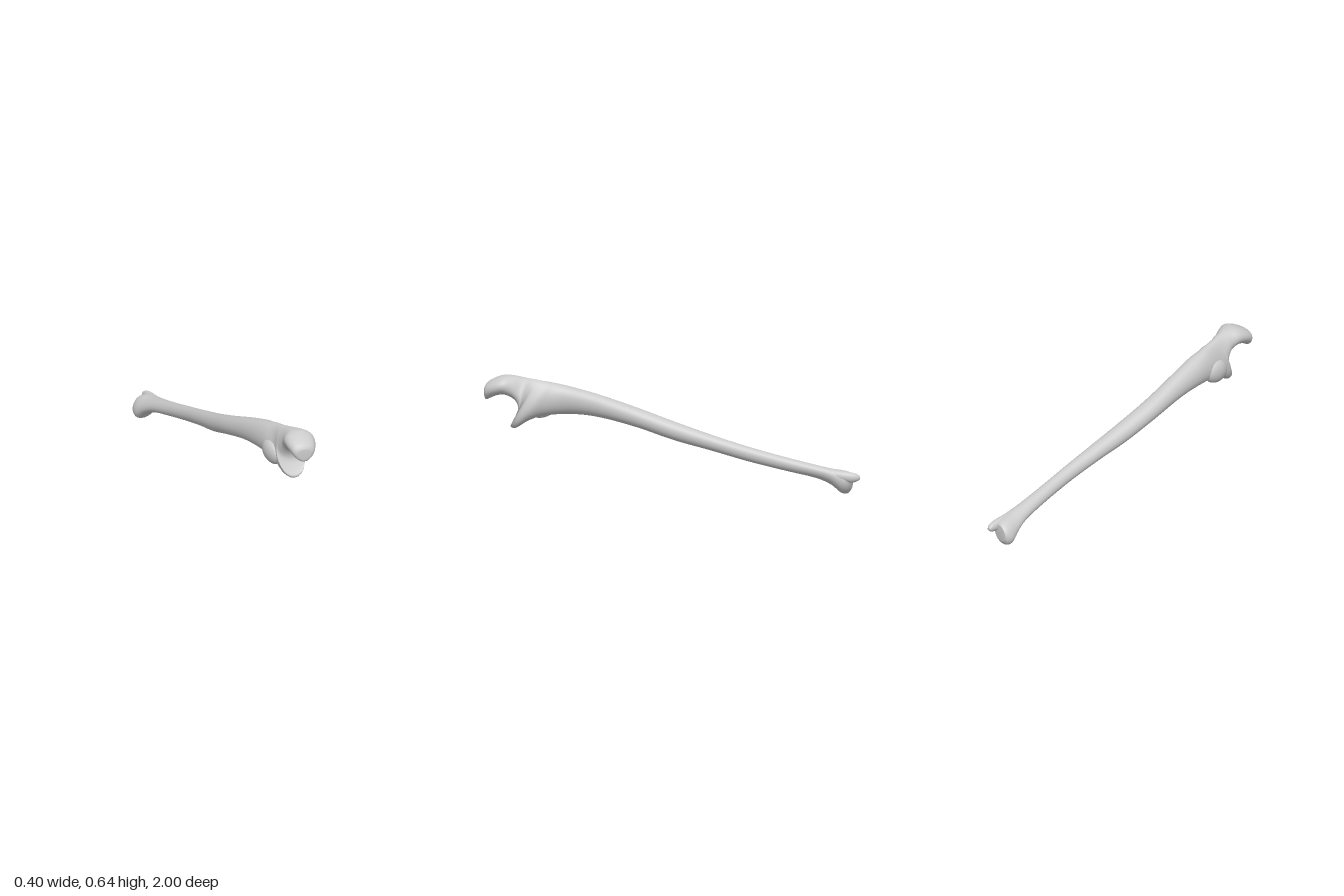
import * as THREE from 'three';

const material = new THREE.MeshStandardMaterial({ color: 0xcccccc });
const SIDES = 28;

// Catmull-Rom blend of whole rows
function blend(rows, t) {
  const n = rows.length - 1;
  const i = Math.min(Math.floor(t * n), n - 1);
  const f = t * n - i;
  const at = (k) => rows[Math.max(0, Math.min(n, k))];
  return rows[i].map((p1, c) => {
    const p0 = at(i - 1)[c], p2 = at(i + 1)[c], p3 = at(i + 2)[c];
    return p1 + 0.5 * f * (p2 - p0 + f * (2 * p0 - 5 * p1 + 4 * p2 - p3 + f * (3 * (p1 - p2) + p3 - p0)));
  });
}

// Skin over rings; each row: top z, top y, bottom z, bottom y,
// top centre x, top half width, bottom centre x, bottom half width
function loft(name, rows, perRow = 4) {
  const pos = [], idx = [];
  const count = (rows.length - 1) * perRow;
  for (let i = 0; i <= count; i++) {
    const [tz, ty, bz, by, tx, tw, bx, bw] = blend(rows, i / count);
    for (let j = 0; j < SIDES; j++) {
      const a = (j / SIDES) * Math.PI * 2;
      const k = (1 - Math.cos(a)) / 2;
      const s = Math.sign(Math.sin(a)) * Math.abs(Math.sin(a)) ** 0.9;
      const mix = THREE.MathUtils.lerp;
      pos.push(mix(tx, bx, k) + mix(tw, bw, k) * s, mix(ty, by, k), mix(tz, bz, k));
    }
  }
  for (let i = 0; i < count; i++) {
    for (let j = 0; j < SIDES; j++) {
      const n = (j + 1) % SIDES;
      const a = i * SIDES + j, b = i * SIDES + n;
      idx.push(a, b, a + SIDES, b, b + SIDES, a + SIDES);
    }
  }
  // End caps
  for (const ring of [0, count]) {
    const c = [0, 0, 0], base = ring * SIDES, centre = pos.length / 3;
    for (let j = 0; j < SIDES; j++) for (let k = 0; k < 3; k++) c[k] += pos[(base + j) * 3 + k] / SIDES;
    pos.push(...c);
    for (let j = 0; j < SIDES; j++) {
      const a = base + j, b = base + (j + 1) % SIDES;
      if (ring === 0) idx.push(centre, b, a);
      else idx.push(centre, a, b);
    }
  }
  const g = new THREE.BufferGeometry();
  g.setAttribute('position', new THREE.Float32BufferAttribute(pos, 3));
  g.setIndex(idx);
  g.computeVertexNormals();
  const mesh = new THREE.Mesh(g, material);
  mesh.name = name;
  return mesh;
}

export function createModel() {
  const group = new THREE.Group();
  group.name = 'forearmBone';

  // Hooked elbow end: rings fan around the notch and out over the lower lip
  const elbow = [
    [1.0, 0.57, 1.0, 0.515, 0.115, 0.04, 0.115, 0.03],
    [0.985, 0.595, 0.99, 0.5, 0.115, 0.072, 0.115, 0.045],
    [0.94, 0.622, 0.94, 0.525, 0.118, 0.08, 0.117, 0.075],
    [0.89, 0.637, 0.89, 0.533, 0.118, 0.082, 0.115, 0.08],
    [0.84, 0.634, 0.845, 0.512, 0.11, 0.06, 0.11, 0.075],
    [0.8, 0.626, 0.82, 0.48, 0.098, 0.045, 0.105, 0.085],
    [0.77, 0.619, 0.815, 0.44, 0.09, 0.045, 0.11, 0.095],
    [0.74, 0.613, 0.84, 0.39, 0.08, 0.045, 0.112, 0.1],
    [0.715, 0.608, 0.86, 0.356, 0.075, 0.048, 0.11, 0.085],
    [0.69, 0.603, 0.83, 0.348, 0.07, 0.05, 0.105, 0.08],
    [0.66, 0.597, 0.77, 0.385, 0.064, 0.052, 0.088, 0.075],
    [0.62, 0.587, 0.69, 0.41, 0.053, 0.055, 0.06, 0.065],
  ];

  // Shaft: z, top y, bottom y, centre x, half width, lean of the section
  const shaft = [
    [0.55, 0.57, 0.417, 0.032, 0.058, 0.01],
    [0.4, 0.525, 0.4, 0.003, 0.053, 0.008],
    [0.2, 0.455, 0.348, -0.025, 0.053, 0.005],
    [0, 0.385, 0.284, -0.035, 0.05, 0.004],
    [-0.2, 0.32, 0.234, -0.043, 0.043, 0.004],
    [-0.4, 0.26, 0.18, -0.056, 0.037, 0.004],
    [-0.6, 0.205, 0.13, -0.083, 0.037, 0.006],
    [-0.76, 0.165, 0.09, -0.11, 0.042, 0.012],
    [-0.84, 0.147, 0.052, -0.125, 0.05, 0.02],
    [-0.895, 0.137, 0.006, -0.138, 0.06, 0.018],
    [-0.93, 0.128, 0.006, -0.142, 0.057, 0.014],
    [-0.948, 0.115, 0.03, -0.145, 0.042, 0.01],
  ].map(([z, t, b, x, w, d]) => [z, t, z, b, x + d, w, x - d, w]);
  group.add(loft('boneBody', [...elbow, ...shaft]));

  // Pointed spur at the wrist end
  const spur = [
    [-0.8, 0.152, 0.11, -0.1, 0.02],
    [-0.88, 0.14, 0.085, -0.101, 0.025],
    [-0.95, 0.131, 0.075, -0.106, 0.023],
    [-0.985, 0.121, 0.082, -0.112, 0.017],
    [-1.0, 0.108, 0.092, -0.114, 0.008],
  ].map(([z, t, b, x, w]) => [z, t, z, b, x, w, x, w]);
  group.add(loft('wristSpur', spur));

  // Side swelling below the notch
  const swelling = new THREE.Mesh(new THREE.SphereGeometry(1, 24, 16), material);
  swelling.name = 'sideSwelling';
  swelling.scale.set(0.042, 0.065, 0.085);
  swelling.position.set(0.03, 0.455, 0.71);
  swelling.rotation.set(0.2, 0.2, 0);
  group.add(swelling);

  return group;
}
